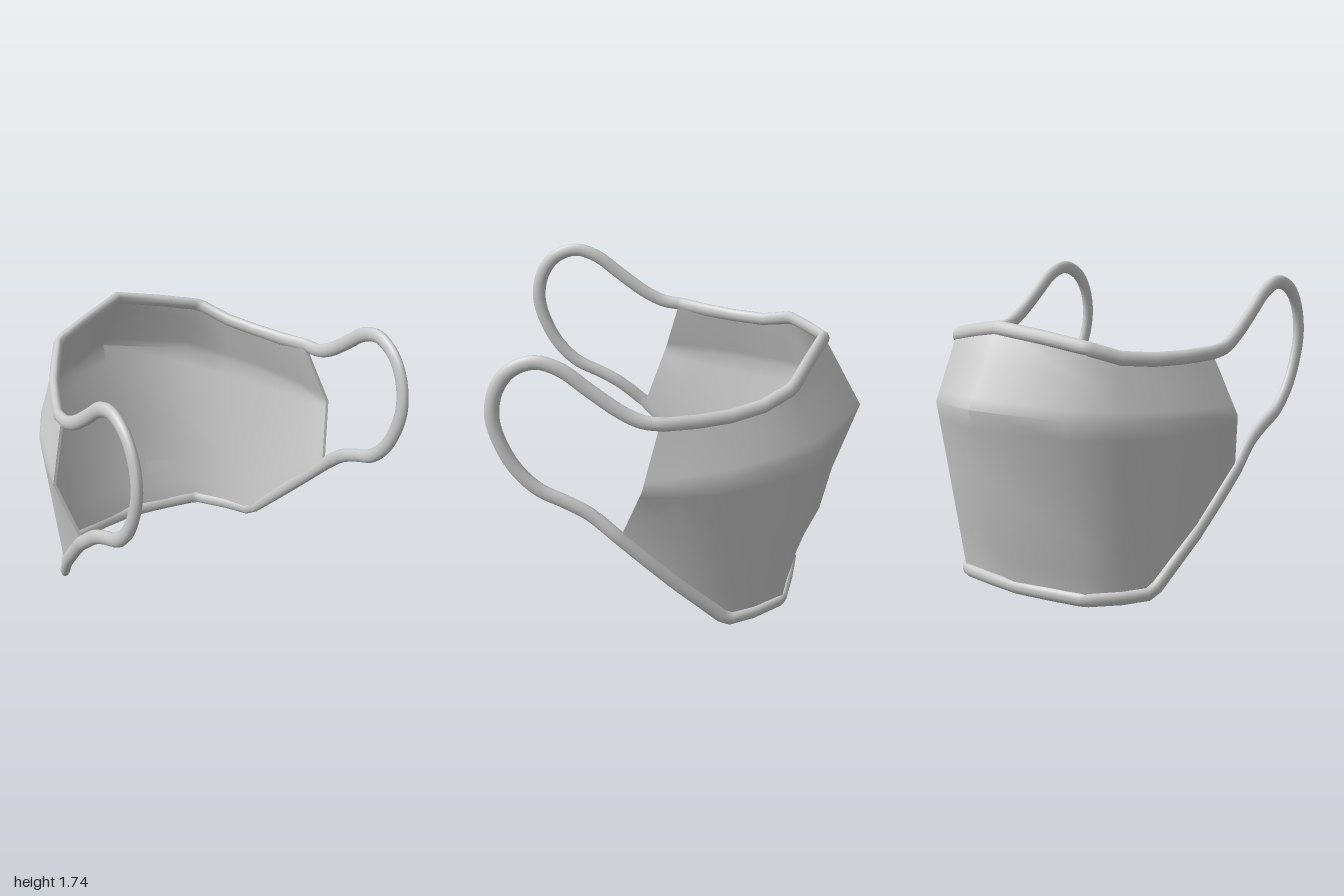
import * as THREE from 'three';
import { toCreasedNormals } from 'three/addons/utils/BufferGeometryUtils.js';

const V = (x, y, z) => new THREE.Vector3(x, y, z);
const mirrorX = (p) => V(-p.x, p.y, p.z);

// Skin a list of equal-length closed rings; optionally join the last ring to the first.
function skin(rings, closed) {
  const n = rings[0].length, pos = [], idx = [];
  rings.forEach((ring) => ring.forEach((p) => pos.push(p.x, p.y, p.z)));
  const spans = closed ? rings.length : rings.length - 1;
  for (let i = 0; i < spans; i++) {
    const a = i * n, b = ((i + 1) % rings.length) * n;
    for (let j = 0; j < n; j++) {
      const k = (j + 1) % n;
      idx.push(a + j, a + k, b + j, a + k, b + k, b + j);
    }
  }
  const geo = new THREE.BufferGeometry();
  geo.setAttribute('position', new THREE.Float32BufferAttribute(pos, 3));
  geo.setIndex(idx);
  geo.computeVertexNormals();
  return geo;
}

// Fabric columns from centre to side: top edge, ridge, bottom edge
const columns = [
  [V(0, 1.51, -0.78), V(0, 1.1, -1), V(0, 0.04, -0.65)],
  [V(0.48, 1.42, -0.6), V(0.48, 1.06, -0.77), V(0.45, 0.04, -0.58)],
  [V(0.58, 1.36, -0.44), V(0.65, 1.04, -0.52), V(0.58, 0.04, -0.42)],
  [V(0.67, 1.34, -0.27), V(0.78, 1.03, -0.27), V(0.655, 0.05, -0.28)],
  [V(0.74, 1.34, -0.1), V(0.865, 1.02, 0), V(0.765, 0.36, 0)],
  [V(0.8, 1.35, 0.09), V(0.91, 1.01, 0.18), V(0.82, 0.69, 0.3)],
];

function fabricGeometry() {
  // Row positions: 0 = top edge, 1 = ridge, 2 = bottom edge
  const rows = [0, 0.4, 0.85, 1, 1.1, 1.4, 1.66, 1.85, 2];
  const rings = rows.map((t) => {
    const half = columns.map(([top, ridge, bottom], c) => {
      const p = t <= 1 ? top.clone().lerp(ridge, t) : ridge.clone().lerp(bottom, t - 1);
      if (c === 0 && t > 1.5 && t < 1.8) p.z -= 0.03;
      return p;
    });
    const outer = [...half.slice(1).reverse().map(mirrorX), ...half];
    // Inner face, set in by the cloth thickness
    const inner = outer.map((p) => {
      const n = V(p.x, 0, Math.min(0, p.z - 0.1)).normalize();
      return p.clone().addScaledVector(n, -0.018);
    });
    return [...outer, ...inner.reverse()];
  });
  return toCreasedNormals(skin(rings, false), 1.0);
}

// One endless binding: upper hem, ear loop, lower hem, mirrored
function bindingPath() {
  const upperHem = [
    V(0, 1.515, -0.775), V(0.24, 1.475, -0.685), V(0.45, 1.432, -0.607), V(0.49, 1.418, -0.58),
    V(0.58, 1.366, -0.44), V(0.67, 1.348, -0.27), V(0.74, 1.348, -0.1),
  ];
  const x = 0.812;
  const earLoop = new THREE.CatmullRomCurve3([
    V(0.805, 1.36, 0.07), V(x, 1.376, 0.18), V(x, 1.43, 0.29), V(x, 1.55, 0.45), V(x, 1.66, 0.59),
    V(x, 1.7, 0.72), V(x, 1.65, 0.85), V(x, 1.54, 0.93), V(x, 1.38, 0.96), V(x, 1.21, 0.92),
    V(x, 1.06, 0.84), V(x, 0.95, 0.73), V(x, 0.885, 0.6), V(x, 0.81, 0.47), V(0.825, 0.67, 0.31),
  ]).getPoints(56);
  const lowerHem = [
    V(0.8, 0.51, 0.16), V(0.765, 0.34, 0), V(0.68, 0.08, -0.24), V(0.655, 0.045, -0.29),
    V(0.58, 0.04, -0.42), V(0.46, 0.04, -0.565), V(0.42, 0.04, -0.585), V(0.2, 0.04, -0.622),
    V(0, 0.04, -0.645),
  ];
  const half = [...upperHem, ...earLoop, ...lowerHem];
  return [...half, ...half.slice(1, -1).reverse().map(mirrorX)];
}

function bindingGeometry() {
  const path = bindingPath(), count = path.length, sides = 12;
  const rings = path.map((p, i) => {
    const before = path[(i + count - 1) % count], after = path[(i + 1) % count];
    const tangent = after.clone().sub(p).normalize().add(p.clone().sub(before).normalize()).normalize();
    // Flat side of the oval section follows the cloth
    const lean = (p.y > 0.7 ? 0.45 : -0.3) * Math.max(0, -p.z);
    const out = V(p.x, lean, Math.min(0, p.z - 0.1)).normalize();
    const across = tangent.clone().cross(out).normalize();
    out.crossVectors(across, tangent);
    return Array.from({ length: sides }, (_, j) => {
      const a = (j / sides) * Math.PI * 2;
      return p.clone().addScaledVector(out, 0.028 * Math.cos(a)).addScaledVector(across, 0.04 * Math.sin(a));
    });
  });
  return skin(rings, true);
}

export function createModel() {
  const group = new THREE.Group();
  group.name = 'faceMask';
  const material = new THREE.MeshStandardMaterial({ color: 0xcccccc, side: THREE.DoubleSide });
  const add = (name, geometry) => {
    const mesh = new THREE.Mesh(geometry, material);
    mesh.name = name;
    group.add(mesh);
  };
  add('fabricShell', fabricGeometry());
  add('hemAndEarLoops', bindingGeometry());
  return group;
}
